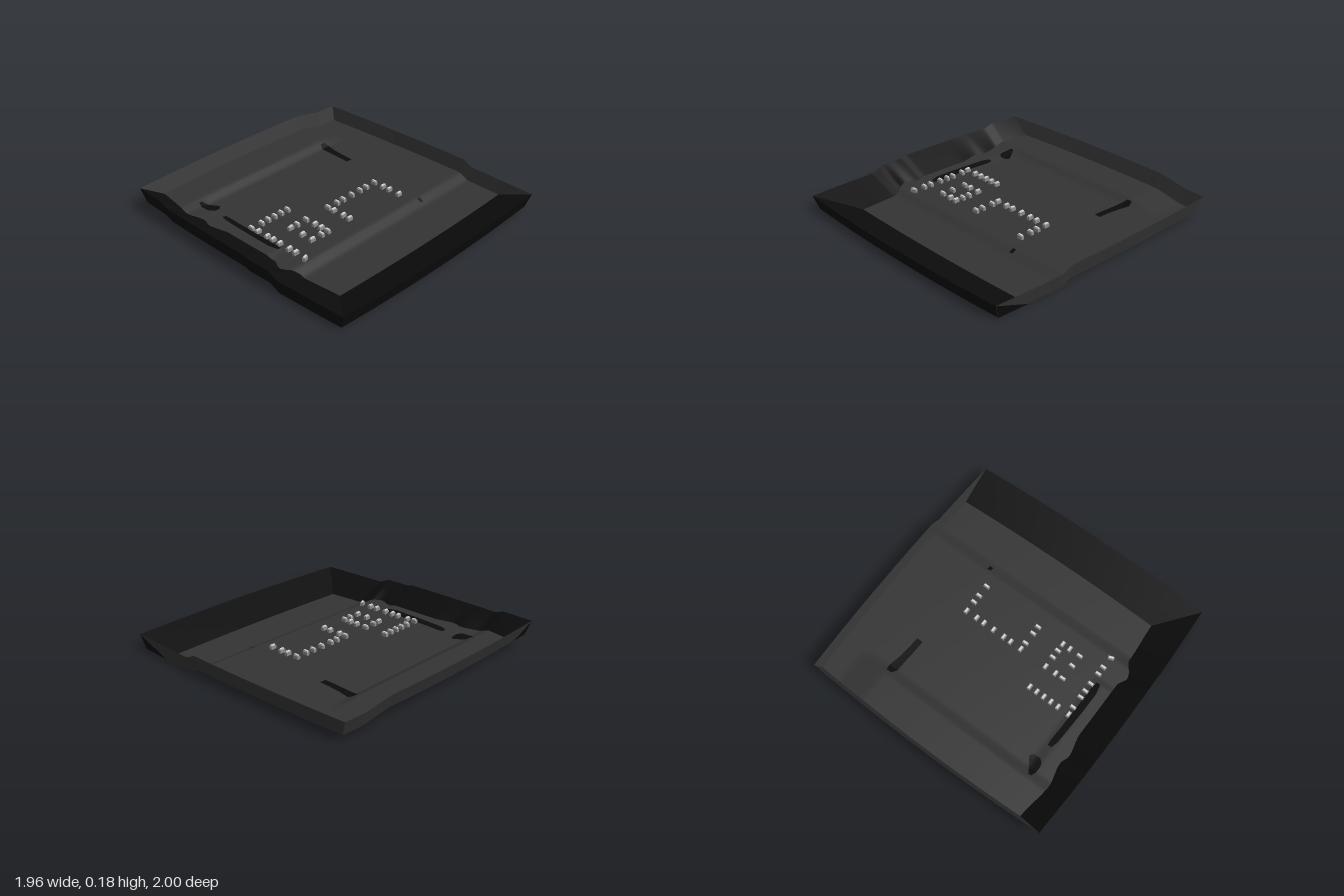
import * as THREE from 'three';

const mat = (name, color, side = THREE.DoubleSide) => {
  const m = new THREE.MeshStandardMaterial({ color, side });
  m.name = name;
  return m;
};
const lerp = THREE.MathUtils.lerp;
const ramp = (a, b, x) => THREE.MathUtils.clamp((x - a) / (b - a), 0, 1);

// Ground height: low front terrace, middle terrace, raised back terrace
function height(x, z) {
  const front = 0.037 * ramp(0.42, 0.345, z);
  const back = 0.037 * ramp(-0.64, -0.71, z) * (1 - ramp(0.57, 0.8, x));
  const leftLedge = 0.012 * ramp(-0.64, -0.7, x) * ramp(0.16, 0.12, z) * ramp(-0.71, -0.64, z);
  return front + back + leftLedge;
}

// Tray outline with bowed edges; the lower edge is slightly smaller than the rim
const plan = (u, v) => [u * (0.958 + 0.024 * (1 - v * v)), v * (0.97 + 0.03 * (1 - u * u))];
function low(u, v) {
  const [x, z] = plan(u, v);
  return [x * 0.978, height(x, z * 0.962), z * 0.962];
}
function rim(u, v) {
  const [x, z] = plan(u, v);
  return [x, height(x, z * 0.97) + 0.106, z];
}
const mix = (a, b, t) => a.map((n, i) => lerp(n, b[i], t));

// Wavy inner foot of the left bank
const FRONT = 0.755;
const foot = [[-1, -0.84], [-0.72, -0.865], [-0.52, -0.825], [-0.45, -0.845], [-0.26, -0.81],
  [0, -0.81], [0.2, -0.81], [0.29, -0.845], [0.43, -0.775], [FRONT, -0.76]];
function footU(v) {
  for (let i = 1; i < foot.length; i++) {
    const [a, p] = foot[i - 1], [b, q] = foot[i];
    if (v <= b) return lerp(p, q, THREE.MathUtils.smoothstep(v, a, b));
  }
  return foot[foot.length - 1][1];
}

// Surface from a rule of two parameters in 0..1
function sheet(name, material, nu, nv, rule) {
  const pos = [], index = [];
  for (let j = 0; j <= nv; j++)
    for (let i = 0; i <= nu; i++) pos.push(...rule(i / nu, j / nv));
  for (let j = 0; j < nv; j++)
    for (let i = 0; i < nu; i++) {
      const a = j * (nu + 1) + i, c = a + nu + 1;
      index.push(a, c, a + 1, a + 1, c, c + 1);
    }
  const g = new THREE.BufferGeometry();
  g.setAttribute('position', new THREE.Float32BufferAttribute(pos, 3));
  g.setIndex(index);
  g.computeVertexNormals();
  const mesh = new THREE.Mesh(g, material);
  mesh.name = name;
  return mesh;
}

export function createModel() {
  const model = new THREE.Group();
  model.name = 'terrainTray';
  const grey = mat('groundGrey', 0x343434);
  const black = mat('bankBlack', 0x0c0c0c);
  const metal = mat('clipGrey', 0x8c8c8c, THREE.FrontSide);
  const light = mat('clipLight', 0xd6d6d6, THREE.FrontSide);

  // Terraced floor
  model.add(sheet('floor', grey, 80, 120, (s, t) => {
    const v = lerp(-1, FRONT, t);
    return low(lerp(footU(v), 1, s), v);
  }));

  // Sloping banks along the left and front, with their undersides
  const leftFoot = v => low(footU(Math.min(v, FRONT)), Math.min(v, FRONT));
  const frontFoot = u => low(Math.max(u, footU(FRONT)), FRONT);
  const at = t => t * 2 - 1;
  for (const [part, edge, n] of [['Bank', rim, 4], ['BankUnderside', low, 2]]) {
    model.add(sheet('left' + part, black, n, 120, (s, t) => mix(edge(-1, at(t)), leftFoot(at(t)), s)));
    model.add(sheet('front' + part, black, n, 60, (s, t) => mix(edge(at(t), 1), frontFoot(at(t)), s)));
  }

  // Outer walls
  const walls = [
    ['leftWall', black, t => [-1, t]], ['frontWall', black, t => [t, 1]],
    ['rightWall', grey, t => [1, t]], ['backWall', grey, t => [t, -1]],
  ];
  for (const [name, m, edge] of walls)
    model.add(sheet(name, m, 1, 120, (s, t) => mix(low(...edge(at(t))), rim(...edge(at(t))), s)));

  // Black wedge ends of the two banks on the grey walls
  model.add(sheet('frontBankEnd', black, 1, 12, (s, t) => {
    const v = lerp(FRONT, 1, t), p = mix(low(1, v), rim(1, v), s * t);
    return [p[0] + 0.003, p[1], p[2]];
  }));
  model.add(sheet('leftBankEnd', black, 1, 12, (s, t) => {
    const u = lerp(footU(-1), -1, t), p = mix(low(u, -1), rim(u, -1), s * t);
    return [p[0], p[1], p[2] - 0.003];
  }));

  // Dark cracks on both faces of the floor: x, z, half width
  const cracks = [
    [[0.545, -0.68, 0.02], [0.54, -0.64, 0.035], [0.53, -0.55, 0.027], [0.522, -0.45, 0.025], [0.52, -0.37, 0.024]],
    [[-0.67, -0.68, 0.012], [-0.665, -0.64, 0.03], [-0.65, -0.6, 0.045], [-0.638, -0.57, 0.05], [-0.635, -0.545, 0.025]],
    [[-0.66, -0.44, 0.015], [-0.665, -0.39, 0.024], [-0.67, -0.3, 0.024], [-0.675, -0.1, 0.026],
      [-0.675, 0.05, 0.027], [-0.67, 0.12, 0.015]],
    [[0.462, 0.355, 0.014], [0.462, 0.39, 0.014]],
  ];
  for (const path of cracks)
    for (const lift of [0.004, -0.004])
      model.add(sheet('crack', black, 4, 24, (s, t) => {
        const k = t * (path.length - 1), i = Math.min(Math.floor(k), path.length - 2);
        const [x, z, w] = mix(path[i], path[i + 1], k - i);
        const px = x + (s * 2 - 1) * w;
        return [px, height(px, z) + lift, z];
      }));

  // Small metal clips: x, z, turn
  const clips = [[-0.635, 0.325, 0.35]];
  const column = (x, zs) => zs.forEach(z => clips.push([x, z, 0]));
  const row = (z, xs) => xs.forEach(x => clips.push([x, z, Math.PI / 2]));
  row(-0.185, [-0.635, -0.545, -0.485, -0.425, -0.365, -0.305]);
  row(0, [-0.39, -0.305, -0.09, 0, 0.06, 0.15, 0.235, 0.3, 0.39]);
  row(0.205, [-0.365, -0.305]);
  column(-0.63, [-0.125, -0.035, 0.02, 0.085, 0.175, 0.235]);
  column(-0.45, [0, 0.115, 0.205]);
  column(-0.305, [0.085, 0.145]);
  column(-0.09, [0.055, 0.145, 0.205]);
  column(0.39, [0.085, 0.145, 0.235]);
  const body = new THREE.BoxGeometry(0.044, 0.024, 0.024);
  const cap = new THREE.BoxGeometry(0.034, 0.009, 0.013);
  for (const [x, z, turn] of clips) {
    const clip = new THREE.Group();
    clip.name = 'clip';
    const base = new THREE.Mesh(body, metal), top = new THREE.Mesh(cap, light);
    base.name = 'clipBody';
    top.name = 'clipCap';
    base.position.y = 0.012;
    top.position.y = 0.028;
    clip.add(base, top);
    clip.position.set(x, height(x, z), z);
    clip.rotation.y = turn;
    model.add(clip);
  }
  return model;
}
